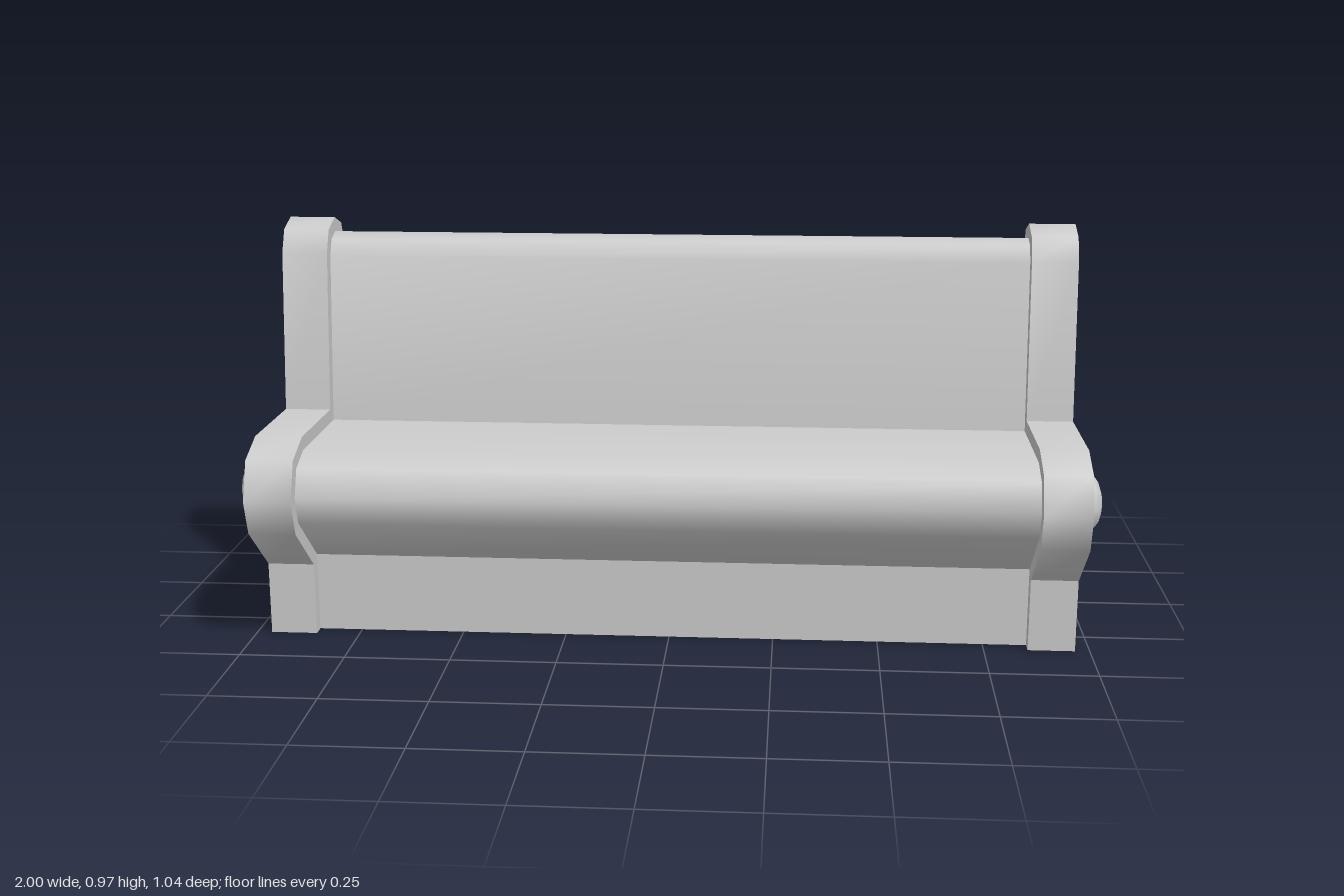
import * as THREE from 'three';
import { toCreasedNormals } from 'three/addons/utils/BufferGeometryUtils.js';

const material = new THREE.MeshStandardMaterial({ color: 0xcccccc, side: THREE.DoubleSide });

// Cross-section as [z, y], from the front foot up to the ridge, then mirrored to the back
const half = [
  [0.346, 0], [0.346, 0.175], [0.49, 0.295], [0.518, 0.38], [0.482, 0.47],
  [0.395, 0.505], [0.128, 0.505], [0.09, 0.89], [0.063, 0.944], [0, 0.966],
];
const outer = [...half, ...half.slice(0, -1).reverse().map(([z, y]) => [-z, y])];

// Moves an open profile inward by distance d with mitred corners
function inset(points, d) {
  const normals = points.slice(1).map(([z, y], i) => {
    const dz = z - points[i][0], dy = y - points[i][1], l = Math.hypot(dz, dy);
    return [-dy / l, dz / l];
  });
  return points.map(([z, y], i) => {
    const a = normals[Math.max(i - 1, 0)];
    const b = normals[Math.min(i, normals.length - 1)];
    const k = d / (1 + a[0] * b[0] + a[1] * b[1]);
    return [z + (a[0] + b[0]) * k, y + (a[1] + b[1]) * k];
  });
}

// Open surface between profile a at xa and profile b at xb
function loft(a, xa, b, xb) {
  const pos = [];
  for (let i = 0; i < a.length - 1; i++) {
    const p = [xa, a[i][1], a[i][0]], q = [xb, b[i][1], b[i][0]];
    const r = [xb, b[i + 1][1], b[i + 1][0]], s = [xa, a[i + 1][1], a[i + 1][0]];
    pos.push(...p, ...q, ...r, ...p, ...r, ...s);
  }
  const geometry = new THREE.BufferGeometry();
  geometry.setAttribute('position', new THREE.Float32BufferAttribute(pos, 3));
  return toCreasedNormals(geometry, 0.85);
}

function add(parent, name, geometry) {
  const mesh = new THREE.Mesh(geometry, material);
  mesh.name = name;
  parent.add(mesh);
  return mesh;
}

export function createModel() {
  const group = new THREE.Group();
  group.name = 'doubleSidedBench';
  const inner = inset(outer, 0.033);
  const capIn = 0.854, capOut = 0.965;

  // Hollow seat and backrest shell, open underneath
  add(group, 'benchShell', loft(inner, -capIn, inner, capIn));

  // End caps: rim, step down to the shell, end plate and two bolts
  for (const side of ['left', 'right']) {
    const cap = new THREE.Group();
    cap.name = side + 'EndCap';
    add(cap, 'capRim', loft(outer, capIn, outer, capOut));
    add(cap, 'capStep', loft(inner, capIn, outer, capIn));

    const shape = new THREE.Shape(outer.map(([z, y]) => new THREE.Vector2(-z, y)));
    const plate = add(cap, 'endPlate', new THREE.ShapeGeometry(shape));
    plate.rotation.y = Math.PI / 2;
    plate.position.x = capOut;

    for (const z of [0.39, -0.39]) {
      const dome = new THREE.SphereGeometry(0.07, 8, 4, 0, Math.PI * 2, 0, Math.PI / 2);
      dome.scale(1, 0.5, 1).rotateZ(-Math.PI / 2);
      add(cap, 'bolt', dome).position.set(capOut, 0.38, z);
    }
    if (side === 'right') cap.rotation.y = Math.PI;
    group.add(cap);
  }
  return group;
}
